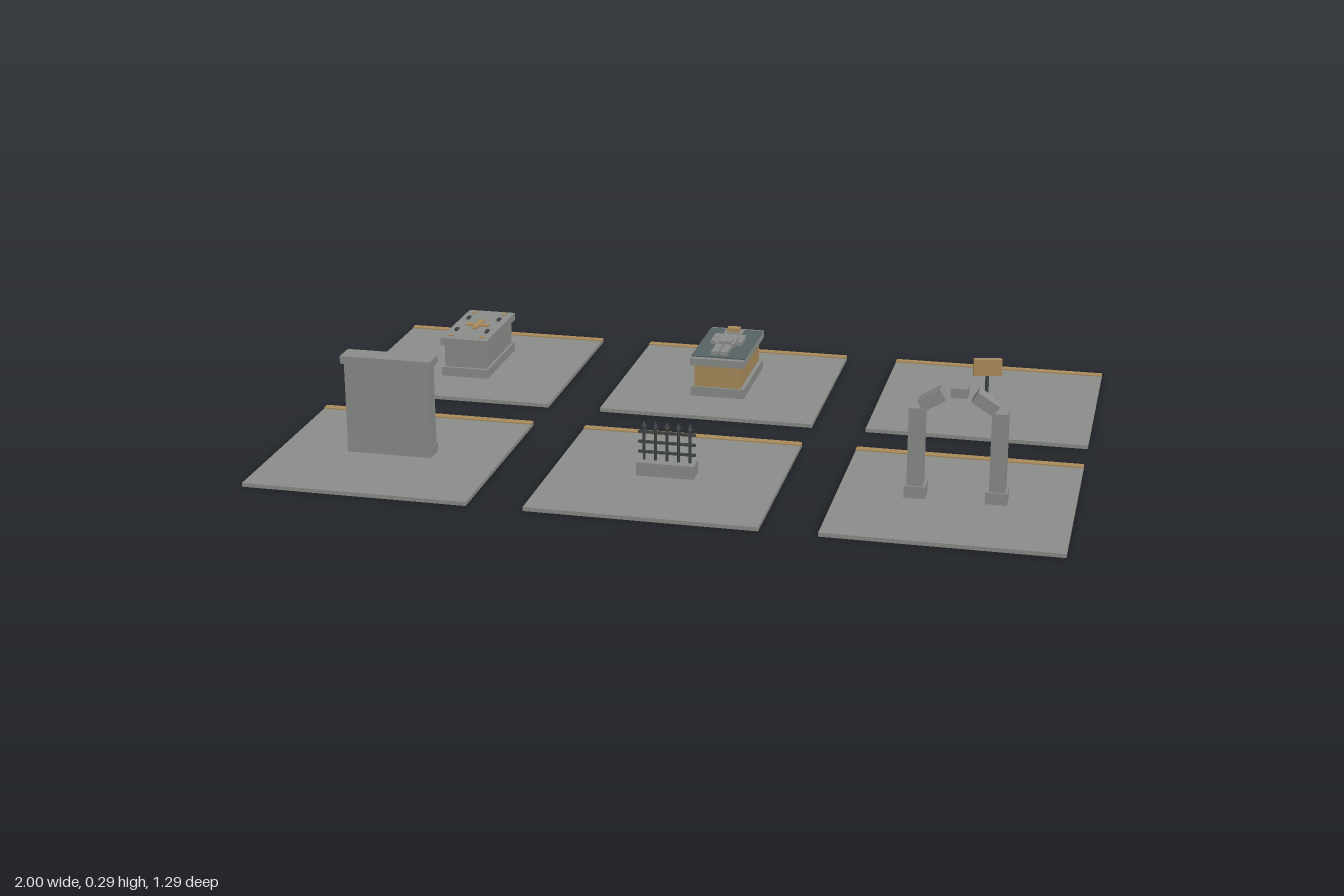
import * as THREE from 'three';

const mat = (name, color) => {
  const m = new THREE.MeshStandardMaterial({ color });
  m.name = name;
  return m;
};

export function createModel() {
  const stone = mat('stone', 0x8b8d8b);
  const tan = mat('sandstone', 0xa98a5b);
  const slate = mat('slate', 0x566264);
  const iron = mat('iron', 0x404445);
  const root = new THREE.Group();
  root.name = 'graveyardSet';

  const add = (parent, name, geo, m, x, y, z) => {
    const mesh = new THREE.Mesh(geo, m);
    mesh.name = name;
    mesh.position.set(x, y, z);
    parent.add(mesh);
    return mesh;
  };
  // Box given by its size, with y the height of its underside
  const box = (parent, name, m, w, h, d, x, y, z) =>
    add(parent, name, new THREE.BoxGeometry(w, h, d), m, x, y + h / 2, z);
  const rod = (parent, name, m, rTop, rBottom, h, x, y, z, sides = 8) =>
    add(parent, name, new THREE.CylinderGeometry(rTop, rBottom, h, sides), m, x, y + h / 2, z);

  // Each piece stands on a square slab with a sandstone strip at the back
  const G = 0.01;
  const tile = (name, col, row) => {
    const g = new THREE.Group();
    g.name = name;
    g.position.set(col * 0.714, 0, row * 0.357);
    box(g, 'groundSlab', stone, 0.572, G, 0.572, 0, 0, 0);
    box(g, 'backStrip', tan, 0.572, 0.006, 0.022, 0, 0.007, -0.275);
    root.add(g);
    return g;
  };

  // Urn wall: closed front, shelves with urns on the rear side
  const wall = tile('urnWall', -1, 1);
  box(wall, 'wallPanel', stone, 0.22, 0.238, 0.018, 0, G, 0.014);
  for (const s of [-1, 1]) box(wall, 'sidePillar', stone, 0.022, 0.238, 0.046, s * 0.099, G, 0);
  box(wall, 'wallBase', stone, 0.222, 0.024, 0.054, 0, G, -0.003);
  box(wall, 'wallCap', stone, 0.236, 0.02, 0.058, 0, 0.245, -0.001);
  box(wall, 'lintel', stone, 0.2, 0.012, 0.05, 0, 0.203, -0.007);
  for (const y of [0.048, 0.127]) {
    box(wall, 'shelf', stone, 0.178, 0.009, 0.04, 0, y, -0.005);
    for (const x of [-0.056, 0, 0.056]) {
      rod(wall, 'urn', slate, 0.017, 0.012, 0.028, x, y + 0.009, -0.018);
      rod(wall, 'urnLid', stone, 0.009, 0.018, 0.008, x, y + 0.037, -0.018);
    }
  }

  // Iron railing on a stone kerb
  const fence = tile('railing', 0, 1);
  box(fence, 'kerb', stone, 0.145, 0.034, 0.05, 0, G, 0);
  for (let i = -2; i <= 2; i++) {
    rod(fence, 'post', iron, 0.0035, 0.0035, 0.088, i * 0.029, 0.044, 0, 6);
    rod(fence, 'spike', iron, 0, 0.007, 0.016, i * 0.029, 0.13, 0, 6);
  }
  for (const y of [0.062, 0.088, 0.114]) box(fence, 'rail', iron, 0.145, 0.006, 0.007, 0, y, 0);

  // Ruined arch
  const arch = tile('brokenArch', 1, 1);
  for (const s of [-1, 1]) {
    box(arch, 'pillarBase', stone, 0.052, 0.03, 0.052, s * 0.098, G, 0);
    box(arch, 'pillar', stone, 0.038, 0.202, 0.042, s * 0.099, 0.036, 0);
    const v = box(arch, 'archStone', stone, 0.062, 0.03, 0.04, s * 0.064, 0.244, 0);
    v.rotation.z = -s * 0.56;
  }
  box(arch, 'keystone', stone, 0.04, 0.024, 0.04, 0, 0.27, 0);

  // Stone tomb with a cross and studs on its lid
  const tomb = tile('tomb', -1, -1);
  box(tomb, 'plinth', stone, 0.132, 0.025, 0.258, 0, G, -0.006);
  box(tomb, 'chest', stone, 0.118, 0.07, 0.24, 0, 0.033, -0.006);
  box(tomb, 'lid', stone, 0.134, 0.02, 0.264, 0, 0.1, -0.006);
  box(tomb, 'crossLong', tan, 0.016, 0.005, 0.075, 0, 0.12, -0.005);
  box(tomb, 'crossArm', tan, 0.066, 0.0045, 0.018, 0, 0.12, -0.003);
  for (const x of [-0.044, 0.044]) {
    for (const z of [-0.06, 0.05]) box(tomb, 'handle', iron, 0.008, 0.006, 0.02, x, 0.12, z);
    for (const z of [-0.114, 0.1]) box(tomb, 'stud', tan, 0.011, 0.004, 0.011, x, 0.119, z);
  }
  box(tomb, 'endPlate', iron, 0.06, 0.012, 0.005, 0, 0.07, -0.127);

  // Sarcophagus with a reclining figure
  const sar = tile('sarcophagus', 0, -1);
  box(sar, 'plinth', stone, 0.146, 0.026, 0.268, 0, G, 0);
  box(sar, 'chest', tan, 0.126, 0.066, 0.256, 0, 0.034, 0);
  box(sar, 'lid', stone, 0.147, 0.02, 0.28, 0, 0.098, 0);
  box(sar, 'lidPanel', slate, 0.146, 0.004, 0.25, 0, 0.117, 0);
  box(sar, 'pillow', stone, 0.05, 0.008, 0.036, 0, 0.12, -0.085);
  box(sar, 'head', tan, 0.034, 0.013, 0.022, 0, 0.126, -0.086);
  box(sar, 'torso', stone, 0.054, 0.012, 0.085, 0, 0.121, -0.002);
  box(sar, 'shoulders', stone, 0.085, 0.012, 0.026, 0, 0.1205, -0.032);
  for (const s of [-1, 1]) {
    box(sar, 'arm', stone, 0.014, 0.011, 0.06, s * 0.036, 0.12, -0.012);
    box(sar, 'leg', stone, 0.02, 0.01, 0.075, s * 0.012, 0.121, 0.072);
  }
  box(sar, 'hands', stone, 0.036, 0.005, 0.03, 0, 0.133, 0.024);

  // Small signpost, turned a little
  const signTile = tile('signTile', 1, -1);
  const sign = new THREE.Group();
  sign.name = 'signpost';
  sign.position.set(-0.004, 0, -0.004);
  signTile.add(sign);
  box(sign, 'signFoot', stone, 0.056, 0.012, 0.038, 0, G, 0);
  rod(sign, 'signPost', iron, 0.005, 0.005, 0.07, 0, 0.02, 0);
  const board = new THREE.Group();
  board.name = 'signBoard';
  board.rotation.y = 0.2;
  sign.add(board);
  box(board, 'boardFront', tan, 0.076, 0.046, 0.01, 0, 0.08, 0.002);
  box(board, 'boardBack', stone, 0.076, 0.046, 0.004, 0, 0.08, -0.005);

  return root;
}
